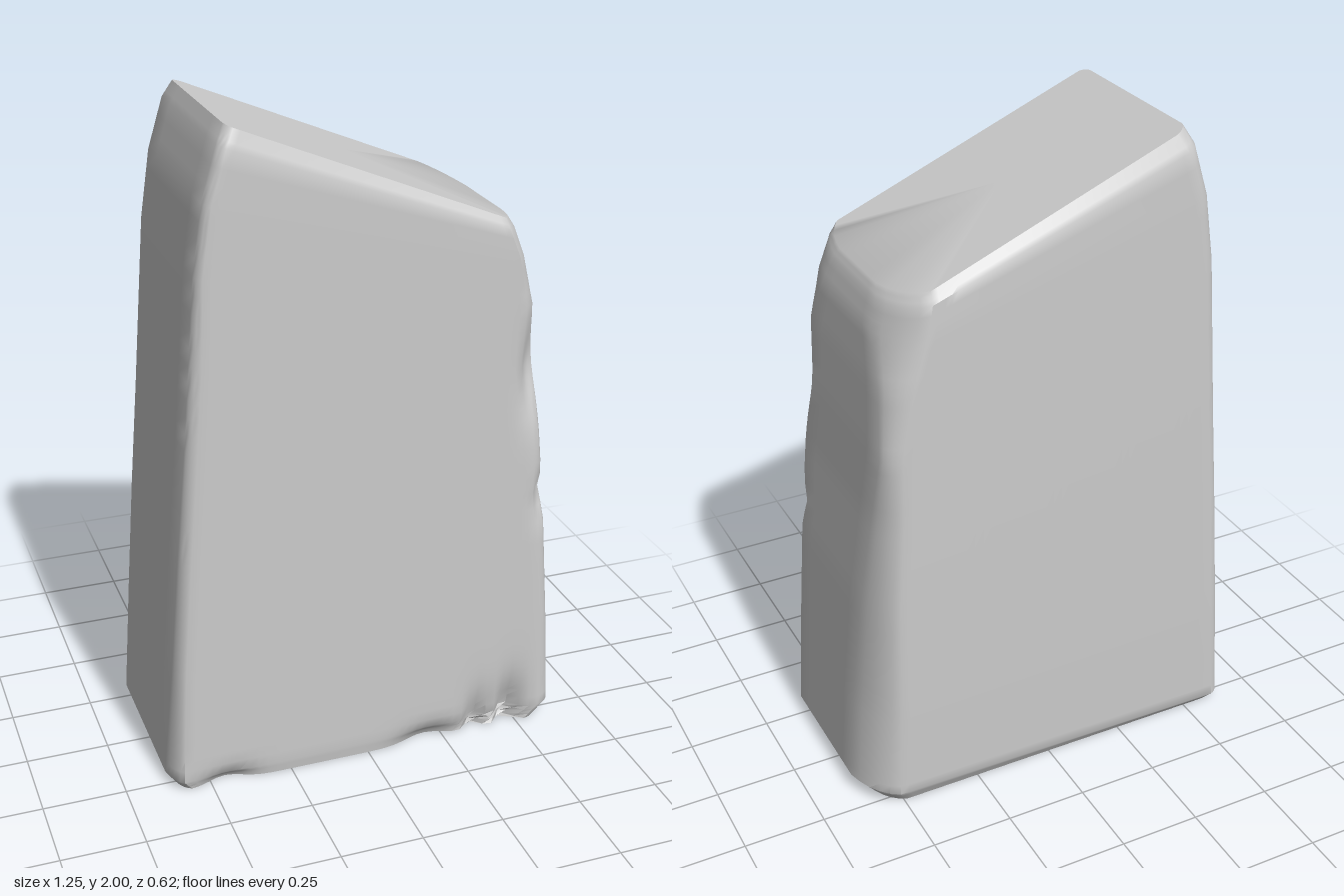
import * as THREE from 'three';
import { toCreasedNormals } from 'three/addons/utils/BufferGeometryUtils.js';

// Cross-sections from bottom to top:
// yLeftEdge, yRightEdge, xMin, xMax, zFront, zBack, then corner cuts (dx, dz): front +x, back +x, front -x
const SECTIONS = [
  [0, 0, -0.6, 0.57, 0.305, -0.28, 0.04, 0.04, 0.08, 0.1, 0.04, 0.06],
  [0.03, 0.05, -0.625, 0.62, 0.31, -0.305, 0.05, 0.04, 0.1, 0.15, 0.04, 0.08],
  [0.4, 0.35, -0.597, 0.597, 0.31, -0.31, 0.04, 0.03, 0.09, 0.16, 0.03, 0.05],
  [0.75, 0.7, -0.57, 0.57, 0.31, -0.31, 0.04, 0.03, 0.07, 0.13, 0.03, 0.04],
  [1.1, 1.0, -0.54, 0.54, 0.31, -0.31, 0.04, 0.03, 0.06, 0.09, 0.03, 0.03],
  [1.35, 1.2, -0.52, 0.525, 0.31, -0.31, 0.06, 0.05, 0.05, 0.05, 0.03, 0.03],
  [1.6, 1.4, -0.5, 0.507, 0.31, -0.31, 0.04, 0.05, 0.07, 0.08, 0.02, 0.03],
  [1.8, 1.54, -0.47, 0.49, 0.31, -0.31, 0.05, 0.12, 0.1, 0.16, 0.02, 0.03],
  [1.95, 1.62, -0.425, 0.465, 0.308, -0.306, 0.06, 0.14, 0.09, 0.17, 0.02, 0.03],
  [2.0, 1.65, -0.4, 0.448, 0.29, -0.28, 0.05, 0.14, 0.08, 0.18, 0.02, 0.03],
];
const STEPS = [3, 10, 5, 6, 5, 5, 4, 3, 3];

// Chips knocked out of the front face: x, y, radiusX, radiusY, depth
const CHIPS = [
  [0.36, 0, 0.035, 0.11, 0.05], [0.47, 0.02, 0.04, 0.12, 0.06], [0.2, 0, 0.09, 0.04, 0.04],
  [-0.45, 0, 0.07, 0.03, 0.035], [0.5, 1.2, 0.035, 0.13, 0.045], [0.55, 0.79, 0.025, 0.05, 0.04],
];
const chipDepth = (x, y) => CHIPS.reduce((sum, [cx, cy, rx, ry, d]) =>
  sum + d * Math.exp(-(((x - cx) / rx) ** 2) - ((y - cy) / ry) ** 2), 0);

const CORNER = 5, LONG = 40, SHORT = 6;

// One closed loop: front, +x side, back, -x side, each followed by a softened corner
function outline([yL, yR, x0, x1, zf, zb, fx, fz, bx, bz, lx, lz]) {
  const corners = [
    { p: [x1, zf], a: [x1 - fx, zf], b: [x1, zf - fz] },
    { p: [x1, zb], a: [x1, zb + bz], b: [x1 - bx, zb] },
    { p: [x0, zb], a: [x0 + 0.035, zb], b: [x0, zb + 0.035] },
    { p: [x0, zf], a: [x0, zf - lz], b: [x0 + lx, zf] },
  ];
  const points = [];
  corners.forEach((c, k) => {
    const start = corners[(k + 3) % 4].b;
    const n = k % 2 === 0 ? LONG : SHORT;
    for (let i = 0; i < n; i++) {
      const t = i / n;
      points.push([start[0] + (c.a[0] - start[0]) * t, start[1] + (c.a[1] - start[1]) * t]);
    }
    // Corner curve pulled only partly towards the sharp corner
    for (let i = 0; i < CORNER; i++) {
      const t = i / CORNER, s = 1 - t;
      points.push([0, 1].map((m) => {
        const ctrl = (c.a[m] + c.b[m]) / 2 * 0.5 + c.p[m] * 0.5;
        return s * s * c.a[m] + 2 * s * t * ctrl + t * t * c.b[m];
      }));
    }
  });
  return points.map(([x, z]) => {
    const y = yL + (yR - yL) * (x - x0) / (x1 - x0);
    const front = THREE.MathUtils.smoothstep(z, 0.1, 0.3);
    return [x, y, z - front * chipDepth(x, y)];
  });
}

function stoneGeometry() {
  // Blend between the sections
  const rings = [];
  STEPS.forEach((n, k) => {
    for (let i = 0; i < n; i++) {
      rings.push(outline(SECTIONS[k].map((v, m) => v + (SECTIONS[k + 1][m] - v) * i / n)));
    }
  });
  rings.push(outline(SECTIONS[SECTIONS.length - 1]));

  const count = rings[0].length, last = (rings.length - 1) * count;
  const positions = rings.flat(2);
  const index = [];
  for (let j = 0; j < rings.length - 1; j++) {
    for (let i = 0; i < count; i++) {
      const a = j * count + i, b = j * count + (i + 1) % count;
      index.push(a, b, b + count, a, b + count, a + count);
    }
  }
  // Flat base and sloping top
  const bottomCentre = rings.length * count;
  positions.push(0, 0, 0, 0.024, 1.825, 0);
  for (let i = 0; i < count; i++) {
    const n = (i + 1) % count;
    index.push(bottomCentre, n, i, bottomCentre + 1, last + i, last + n);
  }
  const geometry = new THREE.BufferGeometry();
  geometry.setAttribute('position', new THREE.Float32BufferAttribute(positions, 3));
  geometry.setIndex(index);
  return toCreasedNormals(geometry, 0.7);
}

export function createModel() {
  const group = new THREE.Group();
  group.name = 'standingStone';
  const stone = new THREE.Mesh(stoneGeometry(), new THREE.MeshStandardMaterial({ color: 0xcccccc }));
  stone.name = 'stoneBlock';
  group.add(stone);
  return group;
}
